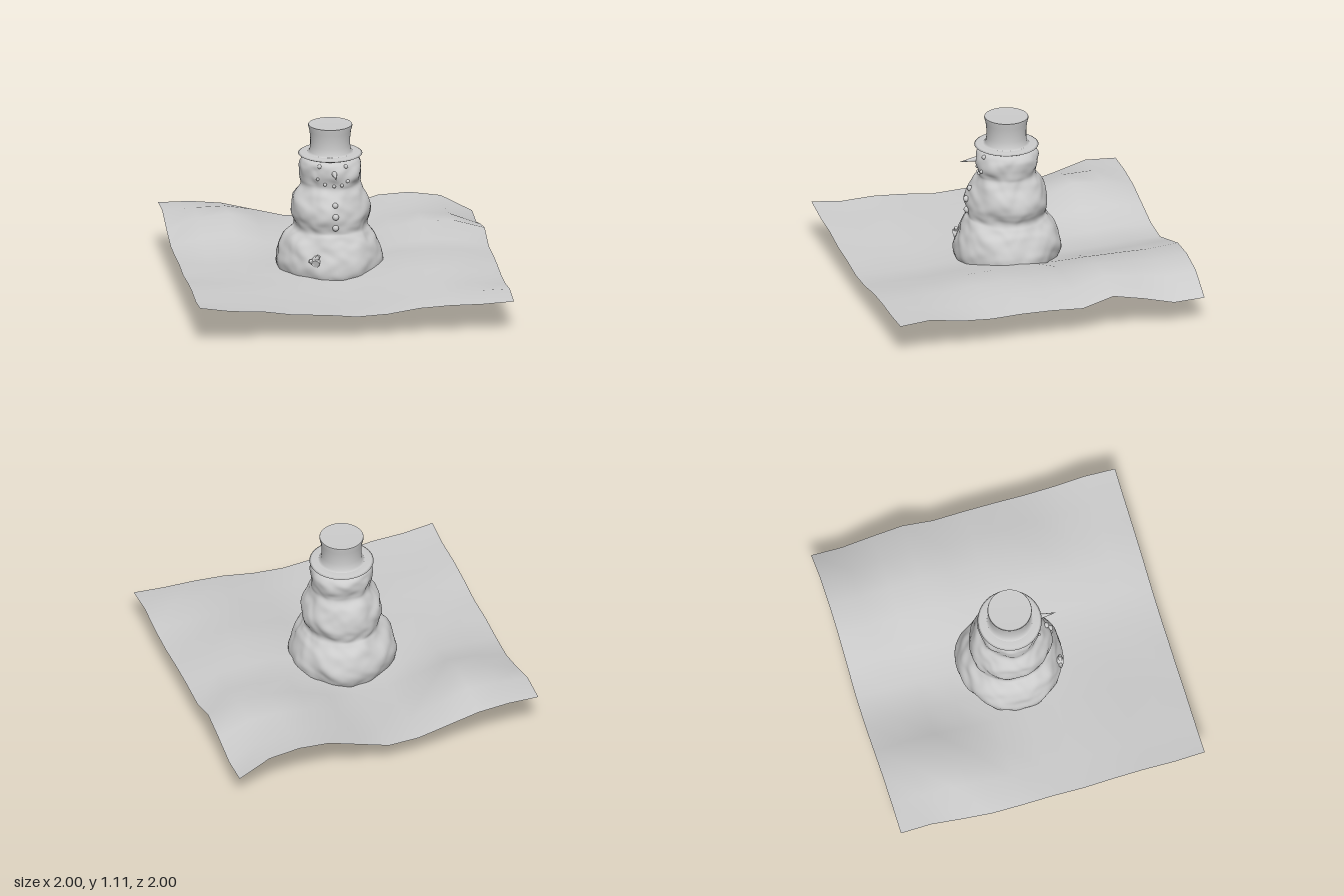
import * as THREE from 'three';
import { mergeVertices } from 'three/addons/utils/BufferGeometryUtils.js';

const CX = -0.037; // the figure stands slightly off centre

// Radius and height of the three stacked snowballs, from the bottom up
const BODY = [
  [0, 0.006], [0.1, 0.012], [0.2, 0.046], [0.275, 0.1], [0.322, 0.17], [0.335, 0.235], [0.326, 0.3],
  [0.3, 0.37], [0.262, 0.425], [0.243, 0.455], [0.25, 0.5], [0.257, 0.55], [0.245, 0.62], [0.218, 0.68],
  [0.188, 0.725], [0.188, 0.76], [0.198, 0.81], [0.194, 0.86], [0.172, 0.895], [0.12, 0.908], [0, 0.91],
];

// Ground heights every 0.2 along each edge
const BACK = [0.31, 0.31, 0.29, 0.24, 0.19, 0.18, 0.24, 0.30, 0.31, 0.28, 0.17];
const FRONT = [0.25, 0.22, 0.21, 0.18, 0.17, 0.15, 0.16, 0.19, 0.20, 0.20, 0.21];
const LEFT = [0.31, 0.32, 0.26, 0.21, 0.21, 0.22, 0.21, 0.23, 0.24, 0.23, 0.25];
const RIGHT = [0.17, 0.16, 0.21, 0.25, 0.19, 0.20, 0.20, 0.19, 0.20, 0.23, 0.21];
// Swells and hollows inside the sheet: x, z, height, spread
const SWELLS = [[-0.05, 0.1, 0.06, 0.28], [-0.65, -0.58, 0.1, 0.18], [0.5, 0.35, 0.04, 0.18], [0.15, -0.35, -0.03, 0.22]];

function groundHeight(i, j) {
  const u = i / 10, v = j / 10, x = u * 2 - 1, z = v * 2 - 1;
  const mix = THREE.MathUtils.lerp;
  const corners = mix(mix(BACK[0], BACK[10], u), mix(FRONT[0], FRONT[10], u), v);
  let y = mix(BACK[i], FRONT[i], v) + mix(LEFT[j], RIGHT[j], u) - corners;
  const fade = Math.min(1, 4 * (1 - x * x) * (1 - z * z));
  for (const [sx, sz, h, s] of SWELLS) {
    y += fade * h * Math.exp(-((x - sx) ** 2 + (z - sz) ** 2) / (2 * s * s));
  }
  return y;
}

// Packed-snow lumps as layered waves
function lumps(x, y, z) {
  let sum = 0, f = 16, a = 0.0065;
  for (let k = 0; k < 3; k++) {
    const s = 1 + k * 2.3;
    sum += a * (Math.sin(f * x + s + 1.5 * Math.sin(f * 0.8 * y + s))
      + Math.sin(f * y * 1.1 - s + 1.3 * Math.sin(f * 0.7 * z))
      * Math.cos(f * z + 2 * s + Math.sin(f * x)));
    f *= 1.8;
    a *= 0.55;
  }
  return sum;
}

function snowBody() {
  const curve = new THREE.SplineCurve(BODY.map(([r, y]) => new THREE.Vector2(r, y)));
  const points = curve.getPoints(110);
  points.forEach((q) => { q.x = Math.max(0, q.x); });
  const geo = new THREE.LatheGeometry(points, 96);
  const p = geo.attributes.position, n = geo.attributes.normal;
  for (let i = 0; i < p.count; i++) {
    const x = p.getX(i), y = p.getY(i), z = p.getZ(i);
    // Keep the crown calm so that it stays under the hat
    const calm = Math.min(1, Math.hypot(x, z) / 0.1) * THREE.MathUtils.smoothstep(0.93 - y, 0.02, 0.08);
    const d = lumps(x, y, z) * calm;
    p.setXYZ(i, x + n.getX(i) * d, Math.max(0, y + n.getY(i) * d), z + n.getZ(i) * d);
  }
  // Weld the wrap-around column so the shading is seamless
  geo.deleteAttribute('normal');
  geo.deleteAttribute('uv');
  const welded = mergeVertices(geo, 1e-5);
  welded.computeVertexNormals();
  return welded;
}

// Front surface depth of the body at a given x and y
function frontZ(x, y) {
  const k = BODY.findIndex(([, h]) => h > y);
  const [r0, y0] = BODY[k - 1], [r1, y1] = BODY[k];
  const r = THREE.MathUtils.mapLinear(y, y0, y1, r0, r1);
  const px = x - CX;
  const z = Math.sqrt(r * r - px * px);
  return z + lumps(px, y, z);
}

export function createModel() {
  const model = new THREE.Group();
  const mat = new THREE.MeshStandardMaterial({ color: 0xcccccc, roughness: 0.8 });
  const sheetMat = new THREE.MeshStandardMaterial({ color: 0xcccccc, roughness: 0.8, side: THREE.DoubleSide });
  const add = (name, geo, x, y, z, material = mat) => {
    const mesh = new THREE.Mesh(geo, material);
    mesh.name = name;
    mesh.position.set(x, y, z);
    model.add(mesh);
    return mesh;
  };

  // Rolling snow sheet
  const ground = new THREE.PlaneGeometry(2, 2, 10, 10).rotateX(-Math.PI / 2);
  const gp = ground.attributes.position;
  for (let k = 0; k < gp.count; k++) gp.setY(k, groundHeight(k % 11, Math.floor(k / 11)));
  ground.computeVertexNormals();
  add('snowGround', ground, 0, 0, 0, sheetMat);

  // Three packed snowballs merging into one another
  add('snowBody', snowBody(), CX, 0, 0);

  // Top hat: brim, flared crown and flat top
  const brim = [[0, 0.914], [0.19, 0.914], [0.203, 0.921], [0.19, 0.929], [0.145, 0.93]];
  const crown = [[0.145, 0.93], [0.131, 0.938], [0.126, 0.98], [0.126, 1.02], [0.131, 1.07], [0.14, 1.105], [0.138, 1.112]];
  const top = [[0.138, 1.112], [0.128, 1.108], [0, 1.108]];
  [['hatBrim', brim], ['hatCrown', crown], ['hatTop', top]].forEach(([name, pts]) =>
    add(name, new THREE.LatheGeometry(pts.map(([x, y]) => new THREE.Vector2(x, y)), 48), CX, 0, 0, sheetMat));

  // Pebble eyes, mouth and buttons: x, y, radius
  const pebbles = (name, list) => list.forEach(([x, y, r]) =>
    add(name, new THREE.SphereGeometry(r, 16, 12), x, y, frontZ(x, y) + r * 0.2));
  pebbles('eye', [[-0.125, 0.88, 0.014], [0.04, 0.88, 0.014]]);
  pebbles('mouthPebble', [
    [-0.138, 0.8, 0.01], [-0.093, 0.765, 0.011], [-0.037, 0.755, 0.011], [0.012, 0.762, 0.011], [0.05, 0.787, 0.012],
  ]);
  pebbles('button', [[CX, 0.645, 0.018], [CX, 0.575, 0.02], [CX, 0.502, 0.02]]);

  // Carrot nose
  const nose = add('nose', new THREE.ConeGeometry(0.022, 0.15, 16), CX, 0.838, 0.235);
  nose.rotation.x = Math.PI / 2 + 0.08;

  // Broken twig poking out of the lowest ball
  const twig = (name, a, b, r0, r1) => {
    const from = new THREE.Vector3(...a), dir = new THREE.Vector3(...b).sub(from);
    const mesh = add(name, new THREE.CylinderGeometry(r1, r0, dir.length(), 8), 0, 0, 0);
    mesh.position.copy(from).addScaledVector(dir, 0.5);
    mesh.quaternion.setFromUnitVectors(new THREE.Vector3(0, 1, 0), dir.normalize());
  };
  twig('twig', [-0.15, 0.31, 0.23], [-0.172, 0.285, 0.31], 0.036, 0.026);
  twig('twigFork', [-0.185, 0.275, 0.288], [-0.15, 0.335, 0.298], 0.02, 0.012);
  twig('twigFork', [-0.165, 0.29, 0.288], [-0.21, 0.3, 0.288], 0.018, 0.01);

  return model;
}
